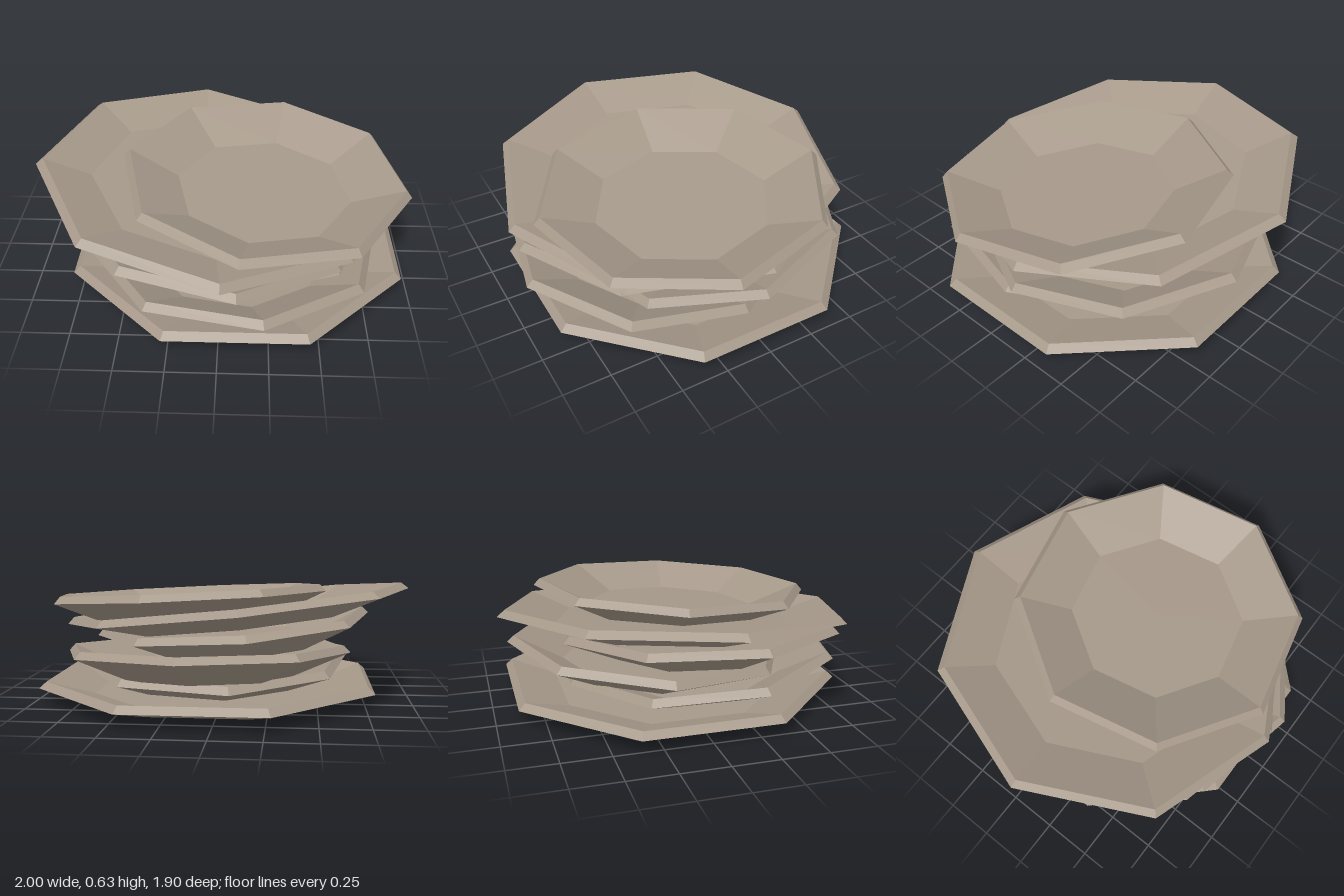
import * as THREE from 'three';

const SIDES = 8;

// Profiles [radius, height], measured from the outer rim edge; the plate is hollow underneath
const PLATE = [[0.655, -0.08], [0.952, 0], [0.914, 0.035], [0.655, -0.045], [0, -0.045]];
const BOWL = [[0, -0.13], [0.48, -0.13], [0.784, 0], [0.75, 0.037], [0.475, -0.09], [0, -0.09]];

// Each dish: rim centre, the direction of one corner, and the rim's rise along x and z
const DISHES = [
  { name: 'bottomPlate', profile: PLATE, at: [0.085, 0.08, -0.005], corner: [0.383, 0.924], rise: [0, 0] },
  { name: 'lowerBowl', profile: BOWL, at: [0.08, 0.17, 0.18], corner: [0.14, 0.76], rise: [-0.005, 0.08] },
  { name: 'middleBowl', profile: BOWL, at: [0.105, 0.25, -0.11], corner: [0.055, -0.77], rise: [-0.012, -0.08] },
  { name: 'upperBowl', profile: BOWL, at: [-0.03, 0.37, 0.15], corner: [0.12, 0.77], rise: [-0.077, 0.006] },
  { name: 'upperPlate', profile: PLATE, at: [-0.06, 0.489, -0.005], corner: [-0.94, 0.075], rise: [-0.111, -0.048] },
  { name: 'topBowl', profile: BOWL, at: [0.226, 0.537, 0.064], corner: [0.764, 0.126], rise: [-0.05, -0.058] },
];

export function createModel() {
  const model = new THREE.Group();
  model.name = 'dishStack';

  const clay = new THREE.MeshStandardMaterial({ color: 0xa6998a, flatShading: true, side: THREE.DoubleSide });
  clay.name = 'clay';

  const up = new THREE.Vector3(0, 1, 0);
  for (const { name, profile, at, corner, rise } of DISHES) {
    const points = profile.map(([r, y]) => new THREE.Vector2(r, y));
    const dish = new THREE.Mesh(new THREE.LatheGeometry(points, SIDES), clay);
    dish.name = name;
    dish.position.set(...at);
    // Tilt the rim, then turn the dish about its own axis
    const normal = new THREE.Vector3(-rise[0], 1, -rise[1]).normalize();
    dish.quaternion.setFromUnitVectors(up, normal);
    dish.rotateY(Math.atan2(corner[0], corner[1]));
    model.add(dish);
  }
  return model;
}
